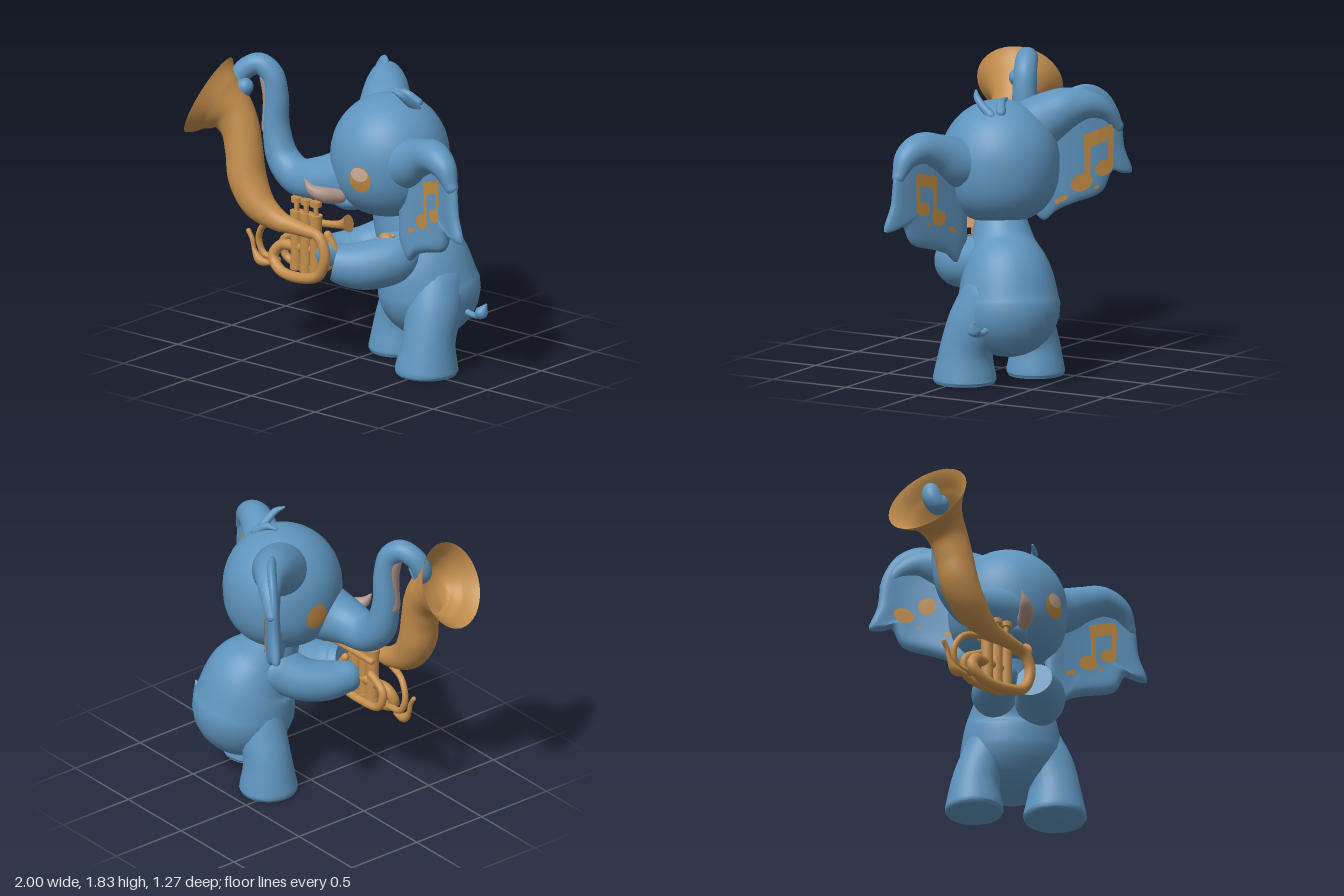
import * as THREE from 'three';
import { toCreasedNormals } from 'three/addons/utils/BufferGeometryUtils.js';

const mat = (name, color, side = THREE.FrontSide) => {
  const m = new THREE.MeshStandardMaterial({ color, side });
  m.name = name;
  return m;
};
const V = (x, y, z) => new THREE.Vector3(x, y, z);

// Builds a surface from equal rings of points
function skin(rings) {
  const n = rings[0].length, pos = rings.flat().flatMap(p => [p.x, p.y, p.z]), idx = [];
  for (let i = 0; i < rings.length - 1; i++) for (let j = 0; j < n; j++) {
    const a = i * n + j, b = i * n + (j + 1) % n;
    idx.push(a, b, a + n, b, b + n, a + n);
  }
  const g = new THREE.BufferGeometry();
  g.setAttribute('position', new THREE.Float32BufferAttribute(pos, 3));
  g.setIndex(idx);
  return toCreasedNormals(g, 0.9);
}

// Tapered tube through [x, y, z, radius] points; ends are 'round', 'flat' or 'open'
function limb(pts, start = 'round', end = 'round', seg = 20) {
  const path = new THREE.CatmullRomCurve3(pts.map(p => V(p[0], p[1], p[2])));
  const size = new THREE.CatmullRomCurve3(pts.map(p => V(p[3], 0, 0)), false, 'catmullrom', 0.5);
  const rings = [], steps = (pts.length - 1) * 7;
  let N = V(0.31, 0.22, 0.92);
  const ring = (c, T, r) => {
    N = N.clone().addScaledVector(T, -N.dot(T)).normalize();
    const B = T.clone().cross(N), out = [];
    for (let j = 0; j < seg; j++) {
      const a = j / seg * Math.PI * 2;
      out.push(c.clone().addScaledVector(N, r * Math.cos(a)).addScaledVector(B, r * Math.sin(a)));
    }
    rings.push(out);
  };
  const cap = (kind, t, dir) => {
    const c = path.getPoint(t), T = path.getTangent(t), r = size.getPoint(t).x;
    if (kind === 'flat') ring(c, T, 1e-4);
    if (kind !== 'round') return;
    for (let k = 0; k < 6; k++) {
      const a = (dir < 0 ? 6 - k : k + 1) / 6 * Math.PI / 2;
      ring(c.clone().addScaledVector(T, dir * r * Math.sin(a)), T, Math.max(r * Math.cos(a), 1e-4));
    }
  };
  cap(start, 0, -1);
  for (let i = 0; i <= steps; i++) {
    const t = i / steps;
    ring(path.getPoint(t), path.getTangent(t), size.getPoint(t).x);
  }
  cap(end, 1, 1);
  return skin(rings);
}

// Point on the head in a direction: an ellipsoid with fuller, flatter cheeks below
const HEAD = V(0.17, 1.295, -0.08), HEAD_R = V(0.355, 0.372, 0.36);
function onHead(dir, lift) {
  const d = dir.clone().divide(HEAD_R).normalize();
  if (d.y < 0 && d.y > -0.999) {
    const k = (1 - Math.abs(d.y) ** 2.6) ** 0.45 / Math.sqrt(1 - d.y * d.y);
    d.x *= k;
    d.z *= k;
  }
  return d.multiplyScalar(lift).multiply(HEAD_R).add(HEAD);
}

// Ear outline, clockwise, in front-plane coordinates
const EAR = [[0.36, 0.95], [0.37, 0.8], [0.44, 0.71], [0.52, 0.77], [0.62, 0.81], [0.8, 0.87], [0.87, 0.99],
  [0.93, 0.97], [1.0, 0.97], [0.95, 1.12], [0.92, 1.32], [0.83, 1.47], [0.7, 1.53], [0.56, 1.49], [0.44, 1.4], [0.37, 1.25]];

function earGeometry(front) {
  const outline = new THREE.CatmullRomCurve3(EAR.map(p => V(p[0] - 0.36, p[1], 0)), true).getPoints(64).slice(0, 64).reverse();
  const c = V(0.28, 1.13, 0), rings = [];
  for (let i = 0; i <= 28; i++) {
    const th = i / 28 * Math.PI, s = Math.max(Math.sin(th), 1e-3), sign = th < Math.PI / 2 ? 1 : -1;
    const flat = 0.03 * Math.sqrt(Math.max(0, 1 - s ** 8));
    const rim = sign === front ? 0.12 * s ** 6 * (1 - s * s) : 0;
    rings.push(outline.map(p => c.clone().lerp(p, s).setZ(sign * (i === 14 ? 0 : flat + rim))));
  }
  return skin(rings);
}

// Painted notes: a joined pair, or loose blots, with a few flecks
function noteGeometry(joined) {
  const poly = pts => new THREE.Shape(pts.map(p => new THREE.Vector2(p[0] - 0.36, p[1])));
  const oval = (x, y, rx, ry) => {
    const s = new THREE.Shape();
    s.absellipse(x - 0.36, y, rx, ry, 0, Math.PI * 2, false, 0.4);
    return s;
  };
  const flecks = [oval(0.52, 0.93, 0.028, 0.014), oval(0.49, 0.915, 0.014, 0.014), oval(0.7, 0.98, 0.014, 0.01)];
  return new THREE.ShapeGeometry(flecks.concat(joined ? [
    poly([[0.63, 1.18], [0.715, 1.208], [0.71, 1.285], [0.63, 1.26]]),
    poly([[0.71, 1.206], [0.8, 1.235], [0.79, 1.31], [0.71, 1.285]]),
    poly([[0.635, 1.01], [0.667, 1.01], [0.667, 1.23], [0.635, 1.23]]),
    poly([[0.762, 1.08], [0.792, 1.08], [0.8, 1.28], [0.77, 1.28]]),
    oval(0.62, 1.01, 0.06, 0.046), oval(0.745, 1.08, 0.052, 0.042),
  ] : [oval(0.79, 1.06, 0.065, 0.045), oval(0.65, 1.12, 0.055, 0.055)]), 10);
}

// Bows an ear sideways across its width
function bow(g, depth) {
  const p = g.attributes.position;
  for (let i = 0; i < p.count; i++) p.setZ(i, p.getZ(i) + depth * Math.sin(Math.PI * p.getX(i) / 0.64));
  g.computeVertexNormals();
  return g;
}

export function createModel() {
  const model = new THREE.Group();
  model.name = 'elephantWithHorn';
  const blue = mat('blueSkin', 0x5f95bf);
  const gold = mat('brass', 0xc48e4c, THREE.DoubleSide);
  const paint = mat('goldPaint', 0xc08a42, THREE.DoubleSide);
  const ivory = mat('ivory', 0xb0968c);
  const blush = mat('eyeHighlight', 0xd0b09c, THREE.DoubleSide);
  const add = (name, geo, m, parent = model) => {
    const mesh = new THREE.Mesh(geo, m);
    mesh.name = name;
    parent.add(mesh);
    return mesh;
  };

  // Body, legs and arms
  add('body', limb([[0.34, 0.46, -0.24, 0.31], [0.31, 0.65, -0.21, 0.27], [0.25, 0.8, -0.15, 0.2], [0.2, 0.97, -0.1, 0.15]], 'round', 'round', 36), blue);
  add('leftLeg', limb([[0.5, 0, -0.03, 0.18], [0.5, 0.03, -0.03, 0.19], [0.505, 0.2, -0.045, 0.16], [0.49, 0.36, -0.1, 0.17], [0.45, 0.52, -0.18, 0.18]], 'flat', 'round', 32), blue);
  add('rightLeg', limb([[0.07, 0, -0.27, 0.165], [0.07, 0.03, -0.27, 0.175], [0.08, 0.2, -0.27, 0.146], [0.14, 0.36, -0.26, 0.145], [0.22, 0.52, -0.24, 0.16]], 'flat', 'round', 32), blue);
  add('leftArm', limb([[0.3, 0.74, -0.08, 0.15], [0.295, 0.69, 0.05, 0.15], [0.2, 0.66, 0.18, 0.147], [0.11, 0.665, 0.255, 0.13], [0.055, 0.68, 0.29, 0.115]], 'round', 'flat', 28), blue);
  add('rightArm', limb([[0.14, 0.75, -0.14, 0.14], [0.02, 0.69, -0.04, 0.13], [-0.06, 0.675, 0.08, 0.12], [-0.11, 0.69, 0.18, 0.1]], 'round', 'round', 28), blue);

  // Paint flecks above the left arm
  for (const [x, y, z, r] of [[0.27, 0.835, 0.085, 0.04], [0.32, 0.845, 0.07, 0.018], [0.235, 0.815, 0.105, 0.016]]) {
    const fleck = add('shoulderFleck', new THREE.SphereGeometry(1, 14, 8), paint);
    fleck.scale.set(r, 0.009, r * 0.7);
    fleck.position.set(x, y, z);
    fleck.rotation.x = 0.6;
  }

  // Tail with tuft
  add('tail', limb([[0.6, 0.36, -0.25, 0.022], [0.68, 0.345, -0.25, 0.018], [0.725, 0.352, -0.245, 0.024], [0.75, 0.375, -0.24, 0.04], [0.765, 0.4, -0.243, 0.028], [0.78, 0.43, -0.25, 0.006]], 'round', 'round', 14), blue);

  // Head
  const skull = new THREE.SphereGeometry(1, 44, 32), sp = skull.attributes.position;
  for (let i = 0; i < sp.count; i++) sp.setXYZ(i, ...onHead(V(sp.getX(i), sp.getY(i), sp.getZ(i)).multiply(HEAD_R), 1).toArray());
  add('head', toCreasedNormals(skull, 0.9), blue);
  const lip = add('lowerLip', new THREE.SphereGeometry(1, 28, 20), blue);
  lip.position.set(0.02, 1.03, 0.1);
  lip.scale.set(0.12, 0.07, 0.12);
  const trunk = [[0.04, 1.16, 0.04, 0.2], [-0.18, 1.11, 0.13, 0.142], [-0.35, 1.1, 0.15, 0.115], [-0.47, 1.19, 0.15, 0.1],
    [-0.525, 1.38, 0.15, 0.082], [-0.525, 1.57, 0.15, 0.075], [-0.55, 1.7, 0.16, 0.07], [-0.62, 1.76, 0.19, 0.066],
    [-0.7, 1.72, 0.235, 0.063], [-0.725, 1.645, 0.265, 0.06], [-0.695, 1.6, 0.28, 0.058], [-0.66, 1.63, 0.28, 0.052]];
  add('trunk', limb(trunk, 'round', 'round', 28), blue);
  add('trunkLining', limb(trunk.slice(4, 7).map(p => [p[0] - 0.022, p[1] - 0.012, p[2] + 0.012, p[3] - 0.018])), ivory);
  add('tusk', limb([[0.03, 1.07, 0.22, 0.045], [-0.02, 1.09, 0.31, 0.046], [-0.07, 1.12, 0.355, 0.033], [-0.11, 1.18, 0.375, 0.006]]), ivory);
  add('frontHairTuft', limb([[0.34, 1.6, -0.12, 0.03], [0.335, 1.66, -0.05, 0.024], [0.32, 1.7, -0.01, 0.02], [0.28, 1.73, 0.02, 0.008]], 'round', 'round', 12), blue);
  add('backHairTuft', limb([[0.31, 1.62, -0.17, 0.03], [0.25, 1.67, -0.14, 0.024], [0.17, 1.68, -0.13, 0.008]], 'round', 'round', 12), blue);

  // Eyes: thin discs laid on the head surface
  const eyePatch = (name, dir, rx, ry, up, lift, m) => {
    const g = new THREE.RingGeometry(0.001, 1, 28, 5), p = g.attributes.position;
    const side = V(0, 1, 0).cross(dir).normalize();
    for (let i = 0; i < p.count; i++) {
      const q = dir.clone().addScaledVector(side, p.getX(i) * rx);
      q.y += p.getY(i) * ry + up;
      p.setXYZ(i, ...onHead(q, lift).toArray());
    }
    g.computeVertexNormals();
    add(name, g, m);
  };
  const leftGaze = V(0.06, -0.075, 0.345);
  eyePatch('leftEye', leftGaze, 0.072, 0.085, 0, 1.012, paint);
  eyePatch('leftEyeHighlight', leftGaze, 0.055, 0.042, 0.038, 1.02, blush);
  eyePatch('rightEye', V(-0.345, -0.075, -0.02), 0.072, 0.085, 0, 1.012, paint);

  // Ears, painted on both faces
  const makeEar = (name, U, root, front, depth, paintings) => {
    const ear = new THREE.Group();
    ear.name = name;
    const N = U.clone().cross(V(0, 1, 0)).normalize();
    const M = new THREE.Matrix4().makeBasis(U, V(0, 1, 0), N).setPosition(root);
    add(name + 'Flap', toCreasedNormals(bow(earGeometry(front), depth), 0.9).applyMatrix4(M), blue, ear);
    for (const [w, joined, size, du, dv] of paintings) {
      const lift = w * (w === front ? 0.044 : 0.037);
      const g = noteGeometry(joined).translate(-0.33, -1.15, 0).scale(size, size, 1).translate(0.33 + du, 1.15 + dv, lift);
      add(name + 'Notes', bow(g, depth).applyMatrix4(M), paint, ear);
    }
    model.add(ear);
  };
  makeEar('leftEar', V(1, 0, 0.3), V(0.36, 0, 0.04), 1, -0.015, [[1, true, 1, 0, 0], [-1, true, 1, 0, 0]]);
  makeEar('rightEar', V(-0.73, 0, -0.68), V(0.02, 0.21, -0.2), -1, 0.05, [[-1, false, 1, 0, 0], [1, true, 1.15, 0.05, -0.05]]);

  // Thick rolled upper ear rims, growing out of the head
  add('leftEarRim', limb([[0.3, 1.3, 0.01, 0.2], [0.46, 1.33, 0.05, 0.155], [0.59, 1.395, 0.1, 0.115], [0.71, 1.435, 0.15, 0.098], [0.82, 1.395, 0.185, 0.075], [0.89, 1.29, 0.2, 0.04]], 'round', 'round', 28), blue);
  add('rightEarRim', limb([[0.08, 1.44, -0.16, 0.19], [-0.03, 1.54, -0.28, 0.155], [-0.11, 1.6, -0.38, 0.125], [-0.195, 1.615, -0.475, 0.088], [-0.28, 1.57, -0.545, 0.06], [-0.355, 1.47, -0.59, 0.036]], 'round', 'round', 28), blue);

  // Brass horn: flared bell and main tube
  const horn = new THREE.Group();
  horn.name = 'horn';
  model.add(horn);
  add('bell', limb([[-0.1, 0.835, 0.32, 0.036], [-0.22, 0.85, 0.33, 0.045], [-0.35, 0.87, 0.34, 0.066], [-0.49, 0.95, 0.355, 0.1], [-0.58, 1.09, 0.35, 0.116],
    [-0.615, 1.25, 0.34, 0.114], [-0.655, 1.385, 0.33, 0.118], [-0.715, 1.47, 0.333, 0.14], [-0.785, 1.52, 0.353, 0.19], [-0.862, 1.56, 0.378, 0.262]], 'round', 'open', 36), gold, horn);

  // Coiled tubing
  const pipe = (name, pts, r, end = 'round') => add(name, limb(pts.map(p => [...p, p[3] ?? r].slice(0, 4)), 'round', end, 12), gold, horn);
  pipe('mainCoil', [[-0.15, 0.84, 0.32], [-0.05, 0.82, 0.32], [0, 0.71, 0.32], [-0.05, 0.58, 0.32], [-0.2, 0.535, 0.32], [-0.36, 0.55, 0.31],
    [-0.43, 0.62, 0.29], [-0.39, 0.69, 0.27], [-0.28, 0.7, 0.25], [-0.08, 0.7, 0.23]], 0.033);
  pipe('rearCoil', [[-0.08, 0.8, 0.2], [-0.03, 0.7, 0.19], [-0.08, 0.6, 0.19], [-0.22, 0.57, 0.2], [-0.4, 0.6, 0.2], [-0.42, 0.7, 0.21], [-0.3, 0.77, 0.22]], 0.025);
  pipe('outerCoil', [[-0.36, 0.83, 0.32], [-0.5, 0.8, 0.29], [-0.56, 0.7, 0.27], [-0.53, 0.61, 0.26], [-0.42, 0.59, 0.26]], 0.02);
  pipe('tailPipe', [[-0.47, 0.56, 0.27], [-0.55, 0.565, 0.27, 0.03], [-0.595, 0.62, 0.27], [-0.61, 0.68, 0.27], [-0.64, 0.73, 0.27]], 0.015);
  pipe('leadPipe', [[-0.3, 0.86, 0.22], [-0.1, 0.87, 0.21], [0, 0.88, 0.2, 0.024], [0.04, 0.89, 0.195, 0.034], [0.075, 0.9, 0.19, 0.055]], 0.022, 'flat');

  // Valves with finger caps
  for (const x of [-0.28, -0.205, -0.13]) {
    for (const [name, r, h, y] of [['valve', 0.037, 0.33, 0.74], ['valveCollar', 0.041, 0.03, 0.91], ['valveBase', 0.041, 0.04, 0.58], ['valveStem', 0.016, 0.09, 0.95], ['fingerCap', 0.036, 0.03, 0.995]]) {
      add(name, new THREE.CylinderGeometry(r, r, h, 18), gold, horn).position.set(x, y, 0.25);
    }
  }
  return model;
}
